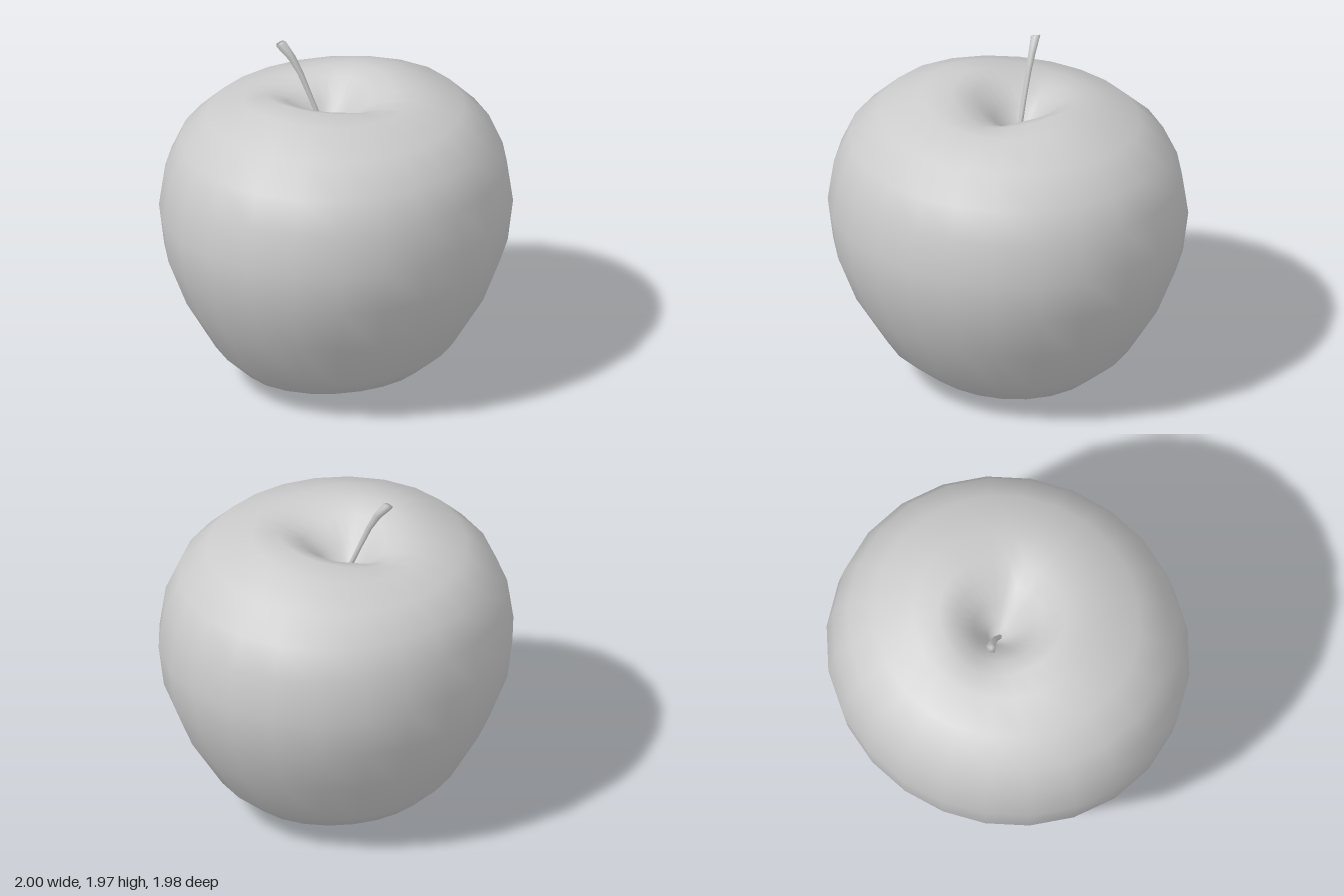
import * as THREE from 'three';
import { mergeVertices } from 'three/addons/utils/BufferGeometryUtils.js';

const material = new THREE.MeshStandardMaterial({ color: 0xcccccc });

// Weight that is 1 at the given radius and fades to 0 over the given width.
const bump = (r, middle, width) => Math.max(0, 1 - Math.abs(r - middle) / width);

// Applies a rule to every vertex, then welds the seams and smooths the normals.
function reshape(geometry, rule) {
  const pos = geometry.attributes.position;
  const v = new THREE.Vector3();
  for (let i = 0; i < pos.count; i++) {
    rule(v.fromBufferAttribute(pos, i));
    pos.setXYZ(i, v.x, v.y, v.z);
  }
  geometry.deleteAttribute('uv');
  geometry.deleteAttribute('normal');
  const welded = mergeVertices(geometry, 1e-4);
  welded.computeVertexNormals();
  return welded;
}

// Fruit body: a lathed profile with a hollow at each end, slightly uneven.
function makeFruit() {
  const profile = [
    [0, 0.13], [0.09, 0.115], [0.18, 0.05], [0.28, 0.01], [0.4, 0.035], [0.53, 0.095],
    [0.69, 0.24], [0.865, 0.53], [0.97, 0.8], [1, 1.04], [0.965, 1.28], [0.885, 1.46],
    [0.73, 1.615], [0.5, 1.71], [0.35, 1.715], [0.24, 1.675], [0.14, 1.57], [0.06, 1.46], [0, 1.42],
  ].map(([r, y]) => new THREE.Vector2(r, y));

  const geometry = reshape(new THREE.LatheGeometry(profile, 24), (v) => {
    const r = Math.hypot(v.x, v.z);
    const angle = Math.atan2(v.z, v.x);
    const diagonal = Math.sin(2 * angle);
    const shift = Math.max(0, 1 - r / 0.8);
    // Slightly oval across the diagonal
    const stretch = 1 - 0.03 * diagonal;
    v.x *= stretch;
    v.z *= stretch * 0.99;
    if (v.y > 1) {
      // Saddle-shaped upper rim with two notches
      v.y -= 0.025 * bump(r, 0.36, 0.3) * diagonal;
      v.y -= 0.04 * bump(r, 0.26, 0.18) * Math.max(0, diagonal) ** 2;
      // Lower shoulder at the back
      v.y -= 0.06 * bump(r, 0.55, 0.42) * Math.max(0, Math.cos(angle + 2.05));
      // Off-centre stem hollow
      v.x -= 0.04 * shift;
      v.z -= 0.08 * shift;
    } else {
      // Two lower feet, left and right, around an off-centre hollow
      v.y += 0.01 * bump(r, 0.36, 0.36) * (1 - 2 * Math.cos(2 * angle));
      v.x -= 0.03 * shift;
      v.z -= 0.03 * shift;
    }
  });
  const fruit = new THREE.Mesh(geometry, material);
  fruit.name = 'fruit';
  return fruit;
}

// Stem: a thin bent rod that flares towards its cut end.
function makeStem() {
  const path = new THREE.CatmullRomCurve3([
    new THREE.Vector3(-0.03, 1.41, -0.06),
    new THREE.Vector3(-0.14, 1.72, -0.13),
    new THREE.Vector3(-0.19, 1.85, -0.165),
    new THREE.Vector3(-0.26, 1.955, -0.205),
  ]);
  const geometry = reshape(new THREE.CylinderGeometry(1, 1, 1, 5, 4), (v) => {
    const t = v.y + 0.5;
    const radius = 0.014 + 0.014 * t * t;
    const center = path.getPoint(t);
    const lean = 0.5 * v.x * radius * t;
    v.set(center.x + v.x * radius, center.y + lean, center.z + v.z * radius);
  });
  const stem = new THREE.Mesh(geometry, material);
  stem.name = 'stem';
  return stem;
}

export function createModel() {
  const apple = new THREE.Group();
  apple.name = 'apple';
  apple.add(makeFruit(), makeStem());
  return apple;
}
